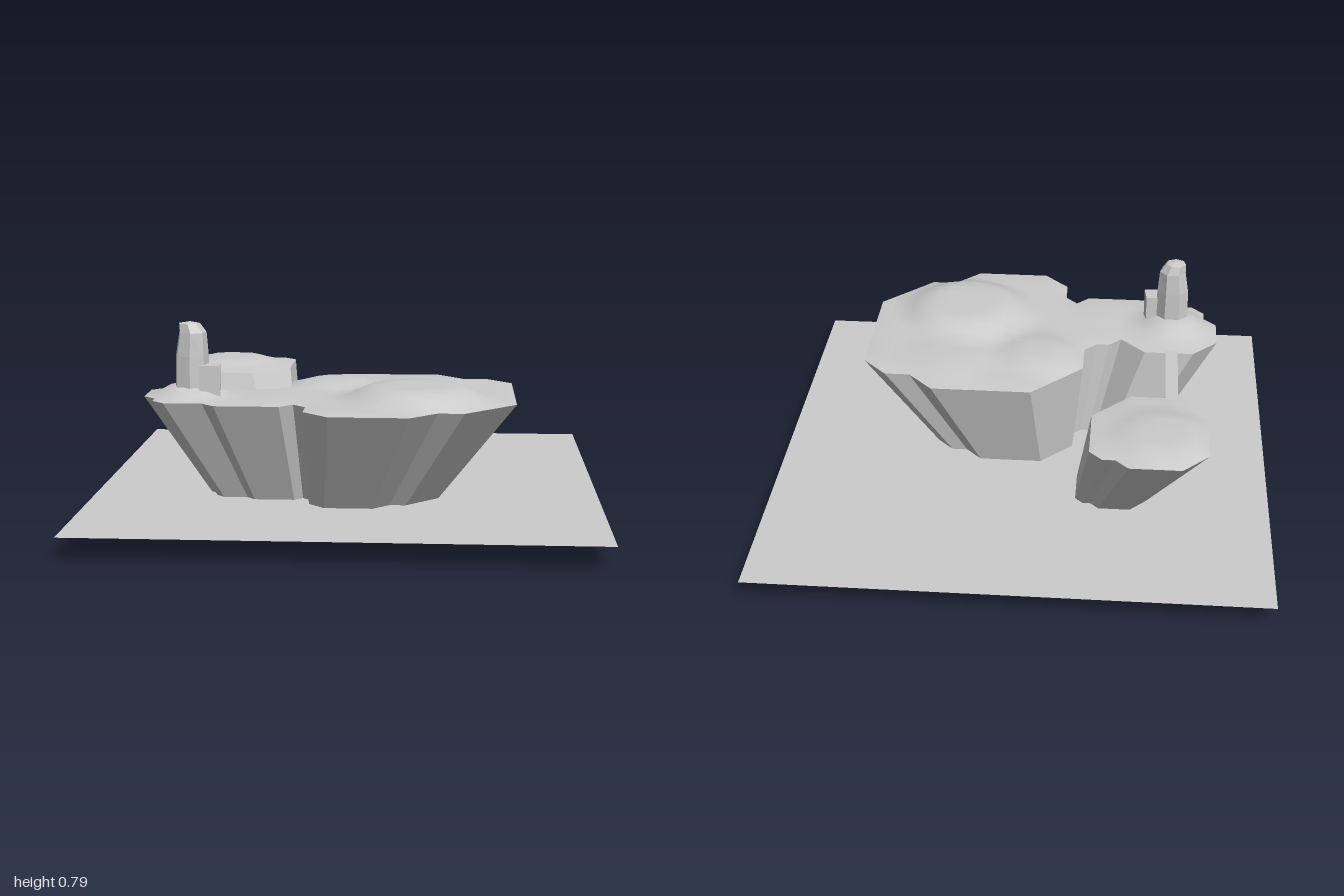
import * as THREE from 'three';
import { mergeVertices } from 'three/addons/utils/BufferGeometryUtils.js';

const STEP = 0.05, RIM = 0.495, GROUND = 0.09;
const gx = (i) => -0.786 + STEP * i;
const gz = (j) => -0.73 + STEP * j;

// Island outlines in grid steps (column, row)
const MAIN = [[0, 19], [0, 22], [1, 23], [1, 24], [2, 25], [5, 25], [6, 26], [11, 26], [12, 25], [13, 26],
  [13, 28], [15, 30], [21, 30], [23, 28], [25, 28], [29, 24], [29, 14], [27, 12], [25, 12], [23, 10],
  [15, 10], [11, 14], [11, 17], [10, 18], [9, 18], [8, 19], [7, 18], [6, 17], [2, 17]];
const SMALL = [[1, 2], [1, 7], [2, 8], [2, 9], [3, 10], [7, 10], [10, 7], [10, 2], [9, 1], [8, 1], [7, 0], [3, 0]];

// Hills: x, z, inner radius, outer radius, height
const HILLS = [
  [0.28, 0.4, 0.16, 0.32, 0.06], [-0.05, 0.06, 0.08, 0.22, 0.03], [0.3, 0.02, 0.05, 0.3, 0.02],
  [-0.6, 0.34, 0.06, 0.18, 0.05], [-0.56, -0.52, 0.12, 0.23, 0.03], [-0.3, 0.4, 0.02, 0.2, 0.01],
];

const grey = (options = {}) => new THREE.MeshStandardMaterial({ color: 0xcccccc, side: THREE.DoubleSide, ...options });

function mesh(name, geometry, options) {
  const m = new THREE.Mesh(geometry, grey(options));
  m.name = name;
  return m;
}

function fromTriangles(points) {
  const g = new THREE.BufferGeometry();
  g.setAttribute('position', new THREE.Float32BufferAttribute(points.flat(), 3));
  return g;
}

// 0 outside the outline, 1 on its edge, 2 inside
function locate(outline, x, y) {
  let inside = false;
  for (let k = 0; k < outline.length; k++) {
    const [ax, ay] = outline[k], [bx, by] = outline[(k + 1) % outline.length];
    const cross = (bx - ax) * (y - ay) - (by - ay) * (x - ax);
    if (Math.abs(cross) < 1e-6 && (x - ax) * (x - bx) <= 0 && (y - ay) * (y - by) <= 0) return 1;
    if ((ay > y) !== (by > y) && x < ax + (y - ay) * (bx - ax) / (by - ay)) inside = !inside;
  }
  return inside ? 2 : 0;
}

// Rolling grid surface inside an outline
function terrain(outline) {
  const vertex = (i, j) => {
    const x = gx(i), z = gz(j);
    let h = 0;
    if (locate(outline, i, j) === 2) {
      h = 0.006;
      for (const [hx, hz, inner, outer, top] of HILLS) {
        const d = Math.hypot(x - hx, z - hz);
        h = Math.max(h, top * (1 - THREE.MathUtils.smoothstep(d, inner, outer)));
      }
    }
    return [x, RIM + h, z];
  };
  const tris = [];
  for (let i = 0; i < 30; i++) {
    for (let j = 0; j < 31; j++) {
      const c = [[i, j], [i, j + 1], [i + 1, j + 1], [i + 1, j]].filter(([a, b]) => locate(outline, a, b));
      for (let k = 2; k < c.length; k++) tris.push(vertex(...c[0]), vertex(...c[k - 1]), vertex(...c[k]));
    }
  }
  const g = mergeVertices(fromTriangles(tris));
  g.computeVertexNormals();
  return g;
}

// Sloping sides, open below, drawn in towards a common centre
function cliffs(outline) {
  const scale = 0.545, cx = -0.13, cz = 0.07;
  const top = ([i, j]) => [gx(i), RIM, gz(j)];
  const foot = ([i, j]) => [cx + scale * (gx(i) - cx), 0, cz + scale * (gz(j) - cz)];
  const tris = [];
  outline.forEach((p, k) => {
    const q = outline[(k + 1) % outline.length];
    tris.push(top(p), foot(p), top(q), top(q), foot(p), foot(q));
  });
  const g = fromTriangles(tris);
  g.computeVertexNormals();
  return g;
}

// Tapered rock column with a slanting top
function rockColumn() {
  const rings = [[0.5, 0.07, 0.06, 0], [0.66, 0.066, 0.058, 0], [0.75, 0.055, 0.052, 0.004], [0.785, 0.042, 0.04, -0.008]];
  const n = 7, cx = -0.595, cz = 0.37;
  const point = ([y, rx, rz, shift], k) => {
    const a = (k % n) / n * Math.PI * 2;
    return [cx + shift + rx * Math.sin(a), y, cz + rz * Math.cos(a)];
  };
  const tris = [];
  for (let k = 0; k < n; k++) {
    for (let r = 0; r < rings.length - 1; r++) {
      const a = point(rings[r], k), b = point(rings[r], k + 1);
      const c = point(rings[r + 1], k), d = point(rings[r + 1], k + 1);
      tris.push(a, b, c, b, d, c);
    }
    tris.push(point(rings[3], k), point(rings[3], k + 1), [cx - 0.005, 0.793, cz]);
  }
  const g = fromTriangles(tris);
  g.computeVertexNormals();
  return g;
}

export function createModel() {
  const model = new THREE.Group();
  model.name = 'islands';

  // Flat sheet that the cliff feet pass through
  const ground = mesh('groundSheet', new THREE.PlaneGeometry(2, 2).rotateX(-Math.PI / 2));
  ground.position.y = GROUND;
  model.add(ground);

  // Two islands
  for (const [name, outline] of [['mainIsland', MAIN], ['smallIsland', SMALL]]) {
    const island = new THREE.Group();
    island.name = name;
    island.add(mesh('terrain', terrain(outline)), mesh('cliffs', cliffs(outline), { flatShading: true }));
    model.add(island);
  }

  // Thin bridge between the islands
  const bridge = mesh('bridge', new THREE.PlaneGeometry(0.05, 0.39).rotateX(-Math.PI / 2));
  bridge.position.set(-0.597, 0.498, -0.055);
  model.add(bridge);

  // Rock tower with a low block at its foot
  const tower = new THREE.Group();
  tower.name = 'rockTower';
  const block = mesh('footBlock', new THREE.BoxGeometry(0.08, 0.12, 0.075), { flatShading: true });
  block.position.set(-0.522, 0.567, 0.39);
  block.rotation.y = 0.12;
  tower.add(mesh('column', rockColumn(), { flatShading: true }), block);
  model.add(tower);

  return model;
}
